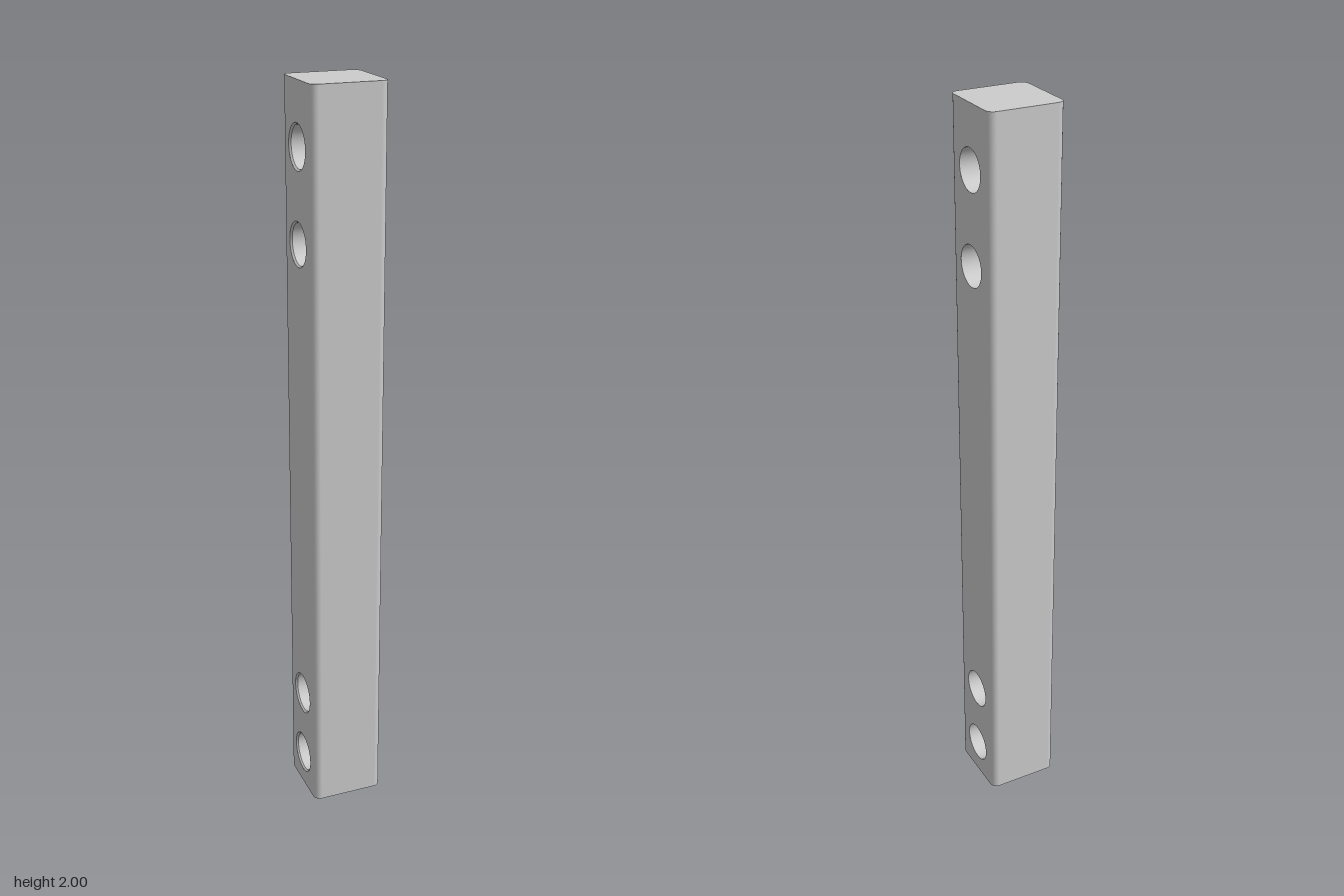
import * as THREE from 'three';

const H = 2, HALF = 0.1, R = 0.02, ARC = 6;
const HOLE_R = 0.054, RIM_R = 0.058, RIM_D = 0.005;
const HOLES = [0.1, 0.3, 1.6, 1.84];

export function createModel() {
  const group = new THREE.Group();
  const mat = new THREE.MeshStandardMaterial({ color: 0xcccccc });
  const inner = new THREE.MeshStandardMaterial({ color: 0xcccccc, side: THREE.DoubleSide });
  const add = (name, geo, material = mat) => {
    const mesh = new THREE.Mesh(geo, material);
    mesh.name = name;
    group.add(mesh);
  };

  // Half outline of the post: two rounded corners joined by a flat face
  const outline = [];
  for (let i = 0; i < 2 * (ARC + 1); i++) {
    const right = i > ARC;
    const a = Math.PI - ((right ? i - 1 : i) / (2 * ARC)) * Math.PI;
    const c = HALF - R;
    outline.push({ x: (right ? c : -c) + R * Math.cos(a), z: c + R * Math.sin(a), nx: Math.cos(a), nz: Math.sin(a) });
  }

  // Front and back faces with their rounded vertical edges
  for (const [name, turn] of [['frontFace', 0], ['backFace', Math.PI]]) {
    const geo = new THREE.PlaneGeometry(1, H, outline.length - 1, 1);
    const { position, normal } = geo.attributes;
    for (let i = 0; i < position.count; i++) {
      const p = outline[i % outline.length];
      position.setXYZ(i, p.x, position.getY(i) + H / 2, p.z);
      normal.setXYZ(i, p.nx, 0, p.nz);
    }
    add(name, geo.rotateY(turn));
  }

  // Drilled side faces
  const w = HALF - R;
  for (const [name, s, r] of [['leftFace', 1, HOLE_R], ['rightFace', -1, RIM_R]]) {
    const shape = new THREE.Shape([[-w, 0], [w, 0], [w, H], [-w, H]].map(p => new THREE.Vector2(...p)));
    for (const y of HOLES) shape.holes.push(new THREE.Path().absarc(0, y, r, 0, Math.PI * 2, true));
    add(name, new THREE.ShapeGeometry(shape, 48).rotateY(s * Math.PI / 2).translate(s * HALF, 0, 0));
  }

  // Bores through the post, with a slight chamfer at one end
  const ring = (points, y) => new THREE.LatheGeometry(points.map(p => new THREE.Vector2(...p)), 48)
    .rotateZ(-Math.PI / 2).translate(0, y, 0);
  for (const y of HOLES) {
    add('holeBore', ring([[HOLE_R, -HALF + RIM_D], [HOLE_R, HALF]], y), inner);
    add('holeChamfer', ring([[RIM_R, -HALF], [HOLE_R, -HALF + RIM_D]], y), inner);
  }

  // End caps
  const cap = new THREE.Shape([1, -1].flatMap(s => outline.map(p => new THREE.Vector2(s * p.x, s * p.z))));
  add('topCap', new THREE.ShapeGeometry(cap).rotateX(-Math.PI / 2).translate(0, H, 0));
  add('bottomCap', new THREE.ShapeGeometry(cap).rotateX(Math.PI / 2));

  return group;
}
